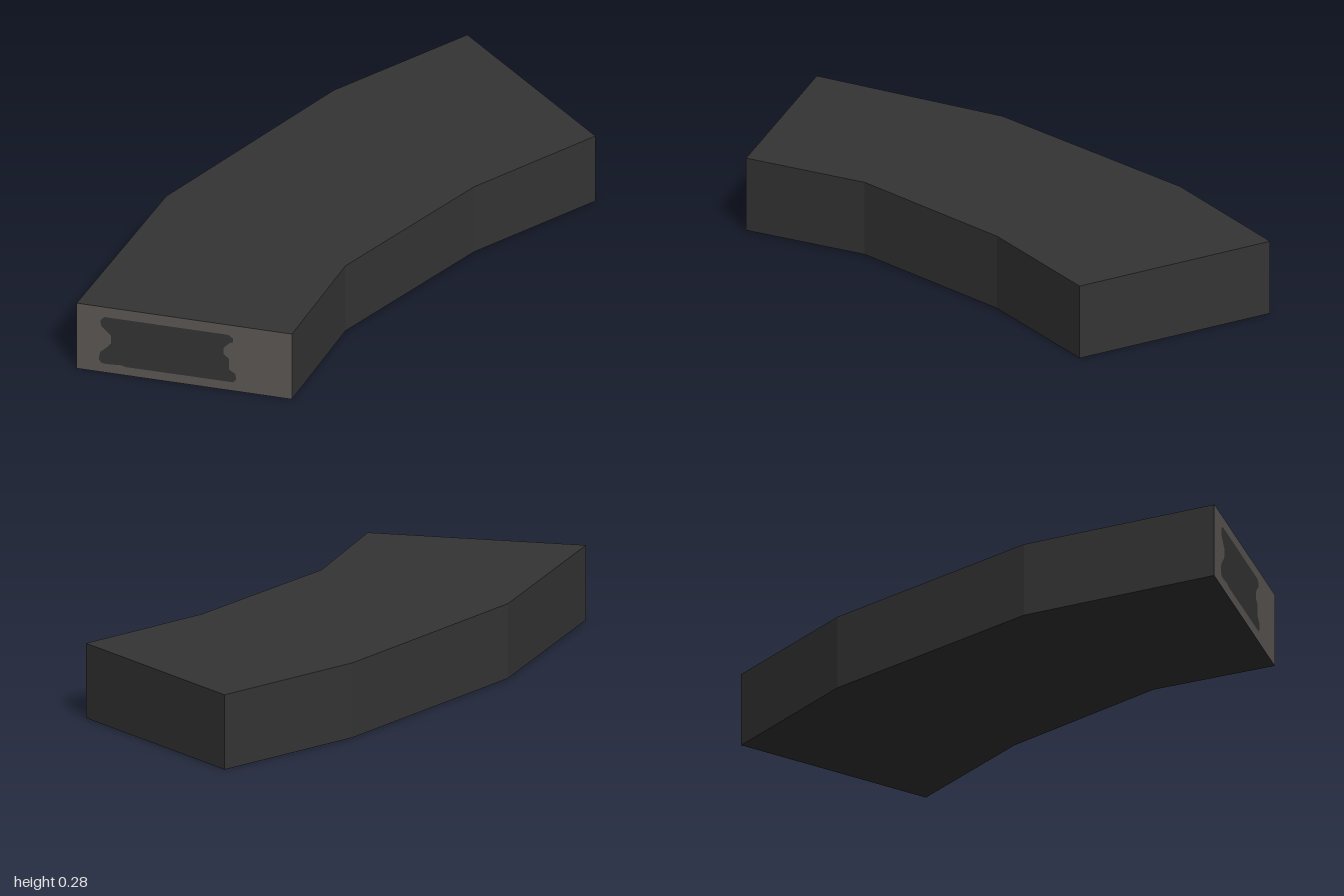
import * as THREE from 'three';

const HEIGHT = 0.277;

const shapeFrom = (points) => new THREE.Shape(points.map(([x, y]) => new THREE.Vector2(x, y)));

export function createModel() {
  const group = new THREE.Group();
  group.name = 'curvedBlock';

  const charcoal = new THREE.MeshStandardMaterial({ color: 0x343434 });
  charcoal.name = 'charcoal';
  const warmGrey = new THREE.MeshStandardMaterial({ color: 0x5c5753 });
  warmGrey.name = 'warm grey';

  const add = (name, geometry, material) => {
    const mesh = new THREE.Mesh(geometry, material);
    mesh.name = name;
    group.add(mesh);
  };

  // Three-segment bent slab: plan outline as x, z, extruded upwards
  const plan = [
    [-0.757, 0.998], [0.03, 0.998], [0.105, 0.53], [0.42, -0.07],
    [0.755, -0.49], [0.155, -1], [-0.215, -0.54], [-0.62, 0.26],
  ];
  const body = new THREE.ExtrudeGeometry(shapeFrom(plan.map(([x, z]) => [x, -z])), {
    depth: HEIGHT, bevelEnabled: false,
  });
  body.rotateX(-Math.PI / 2);
  add('body', body, charcoal);

  // Lighter end face
  const end = new THREE.PlaneGeometry(0.787, HEIGHT);
  end.translate(-0.3635, HEIGHT / 2, 0.999);
  add('frontFace', end, warmGrey);

  // Dark waisted panel painted on the end face
  const panel = new THREE.ShapeGeometry(shapeFrom([
    [-0.65, 0.037], [-0.59, 0.041], [-0.58, 0.036], [-0.185, 0.037], [-0.173, 0.05],
    [-0.176, 0.073], [-0.2, 0.09], [-0.2, 0.135], [-0.22, 0.152], [-0.22, 0.176],
    [-0.2, 0.2], [-0.185, 0.207], [-0.185, 0.222], [-0.2, 0.236], [-0.655, 0.236],
    [-0.67, 0.22], [-0.666, 0.195], [-0.63, 0.16], [-0.63, 0.13],
    [-0.643, 0.112], [-0.67, 0.085], [-0.676, 0.056], [-0.667, 0.04],
  ]));
  panel.translate(0, 0, 1);
  add('frontPanel', panel, charcoal);

  return group;
}
